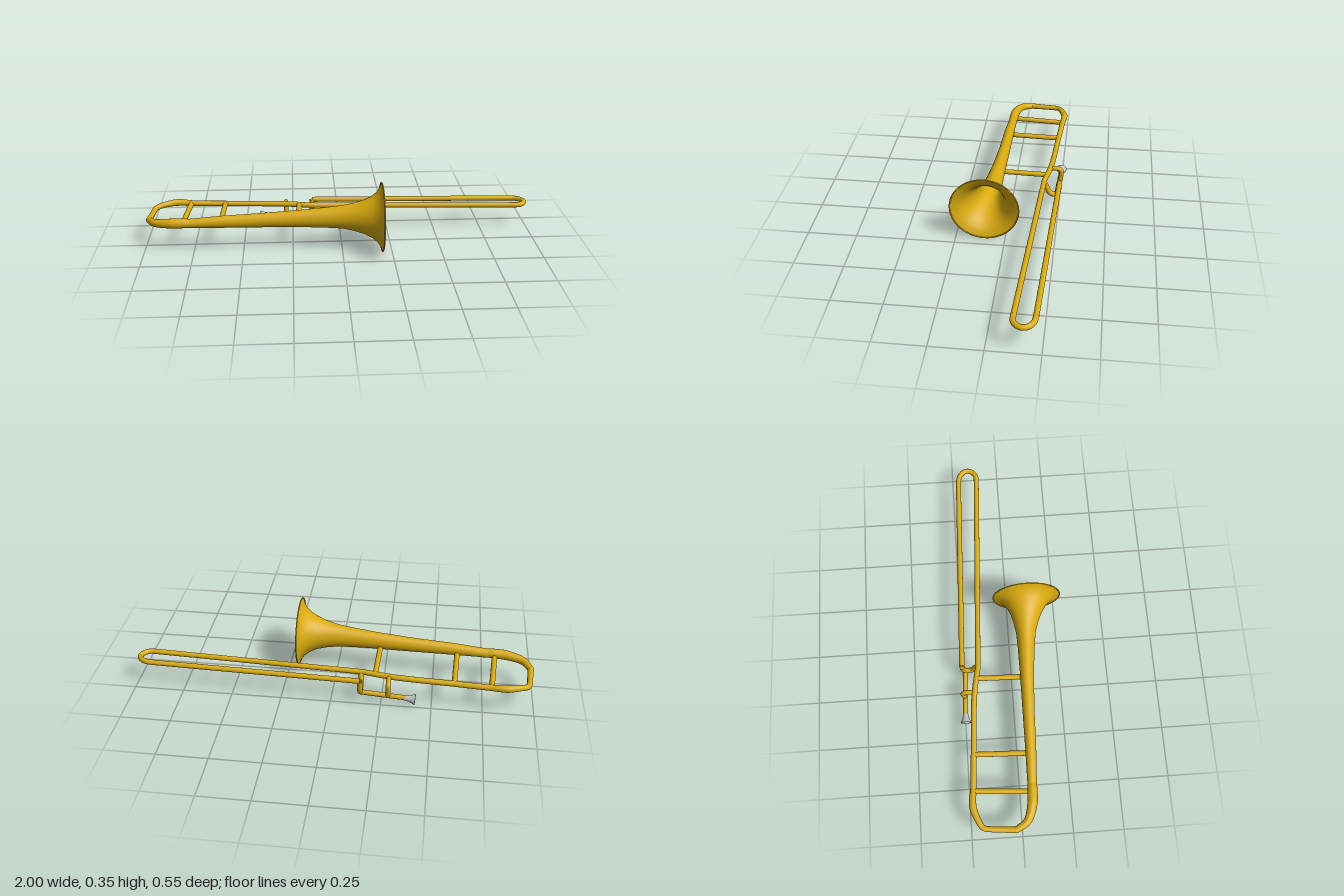
import * as THREE from 'three';

const brass = new THREE.MeshStandardMaterial({ color: 0xd9ab0e, side: THREE.DoubleSide });
brass.name = 'brass';
const silver = new THREE.MeshStandardMaterial({ color: 0xc4c4c4, side: THREE.DoubleSide });
silver.name = 'silver';

const R = 0.0135;
const V = (p) => new THREE.Vector3(p[0], p[1], p[2]);

export function createModel() {
  const model = new THREE.Group();
  model.name = 'trombone';

  const add = (name, geometry, material = brass) => {
    const mesh = new THREE.Mesh(geometry, material);
    mesh.name = name;
    model.add(mesh);
    return mesh;
  };

  // Smooth pipe through points; an optional list of radii swells it along its length
  const pipe = (name, points, radii = [R], segments = points.length * 10) => {
    const curve = new THREE.CatmullRomCurve3(points.map(V), false, 'centripetal');
    const sides = 16;
    const geo = new THREE.TubeGeometry(curve, segments, 1, sides);
    const pos = geo.attributes.position;
    const p = new THREE.Vector3();
    for (let i = 0; i <= segments; i++) {
      const c = curve.getPointAt(i / segments);
      const t = curve.getUtoTmapping(i / segments) * (radii.length - 1);
      const k = Math.min(Math.floor(t), Math.max(radii.length - 2, 0));
      const r = radii.length > 1 ? THREE.MathUtils.lerp(radii[k], radii[k + 1], t - k) : radii[0];
      for (let j = 0; j <= sides; j++) {
        const n = i * (sides + 1) + j;
        p.fromBufferAttribute(pos, n).sub(c).multiplyScalar(r).add(c);
        pos.setXYZ(n, p.x, p.y, p.z);
      }
    }
    geo.computeVertexNormals();
    return add(name, geo);
  };

  // Straight round bar between two points
  const bar = (name, a, b, r = R) => {
    const from = V(a), to = V(b);
    const mesh = add(name, new THREE.CylinderGeometry(r, r, from.distanceTo(to), 16));
    mesh.position.copy(from).lerp(to, 0.5);
    mesh.quaternion.setFromUnitVectors(new THREE.Vector3(0, 1, 0), to.sub(from).normalize());
    return mesh;
  };

  // Bell: upright elliptical rings [x, centreY, centreZ, radiusY, radiusZ]
  const rings = [
    [-0.77, 0.147, 0.06, 0.023, 0.023], [-0.6, 0.155, 0.066, 0.031, 0.027],
    [-0.4, 0.161, 0.07, 0.037, 0.03], [-0.2, 0.169, 0.077, 0.045, 0.036],
    [-0.08, 0.174, 0.083, 0.053, 0.043], [0, 0.177, 0.087, 0.06, 0.05],
    [0.06, 0.178, 0.092, 0.072, 0.064], [0.11, 0.179, 0.097, 0.087, 0.082],
    [0.15, 0.179, 0.1, 0.107, 0.104], [0.175, 0.179, 0.102, 0.128, 0.126],
    [0.19, 0.179, 0.103, 0.15, 0.148], [0.199, 0.179, 0.104, 0.173, 0.171],
  ];
  const around = 64;
  const verts = [], faces = [];
  rings.forEach(([x, cy, cz, ry, rz], i) => {
    for (let j = 0; j < around; j++) {
      const a = (j / around) * Math.PI * 2;
      verts.push(x, cy + Math.cos(a) * ry, cz + Math.sin(a) * rz);
      if (i === 0) continue;
      const k = (j + 1) % around, lo = (i - 1) * around, hi = i * around;
      faces.push(lo + j, hi + k, hi + j, lo + j, lo + k, hi + k);
    }
  });
  const bell = new THREE.BufferGeometry();
  bell.setAttribute('position', new THREE.Float32BufferAttribute(verts, 3));
  // Wound so that the outer wall is the front side
  faces.reverse();
  const probe = [0, 1, 2].map((n) => new THREE.Vector3().fromArray(verts, faces[n] * 3));
  const normal = probe[1].clone().sub(probe[0]).cross(probe[2].clone().sub(probe[0]));
  const last = rings[rings.length - 1];
  if (normal.dot(probe[0].clone().sub(new THREE.Vector3(last[0], last[1], last[2]))) < 0) faces.reverse();
  bell.setIndex(faces);
  bell.computeVertexNormals();
  add('bell', bell);

  // Rolled bell rim
  const rim = add('bellRim', new THREE.TorusGeometry(0.1725, 0.0035, 8, 64));
  rim.rotation.y = Math.PI / 2;
  rim.position.set(0.199, 0.179, 0.104);

  // Tuning bow: swollen bell-side neck, cross bend and rear rail
  pipe('bellNeck',
    [[-0.982, 0.13, -0.03], [-0.945, 0.138, 0.025], [-0.86, 0.146, 0.055], [-0.8, 0.148, 0.059], [-0.755, 0.147, 0.061]],
    [0.016, 0.02, 0.025, 0.025, 0.021]);
  pipe('tuningBow',
    [[-0.982, 0.13, -0.035], [-0.975, 0.131, -0.11], [-0.962, 0.133, -0.19], [-0.93, 0.138, -0.21], [-0.86, 0.142, -0.233], [-0.77, 0.138, -0.226]],
    [0.016, 0.014, 0.014, 0.015, 0.018, 0.015]);
  const elbow = add('bowElbow', new THREE.SphereGeometry(0.0165, 16, 12));
  elbow.position.set(-0.982, 0.13, -0.033);
  pipe('rearRail', [[-0.78, 0.138, -0.227], [-0.6, 0.138, -0.215], [-0.3, 0.138, -0.195], [-0.15, 0.138, -0.168]],
    [0.015, 0.0145, 0.0145, R]);

  // Long hand slide with its rounded end
  bar('innerSlide', [-0.16, 0.138, -0.169], [0.91, 0.138, -0.117]);
  bar('outerSlide', [-0.145, 0.138, -0.25], [0.91, 0.138, -0.215]);
  pipe('slideBow',
    [[0.905, 0.138, -0.215], [0.945, 0.138, -0.209], [0.975, 0.138, -0.187], [0.983, 0.138, -0.16], [0.97, 0.138, -0.133], [0.945, 0.138, -0.118], [0.905, 0.138, -0.117]]);

  // Braces between bell and rear rail
  [[-0.805, 0.055, -0.785, -0.227], [-0.615, 0.06, -0.605, -0.215], [-0.222, 0.07, -0.215, -0.182]]
    .forEach(([x1, z1, x2, z2], i) => bar('bellBrace' + (i + 1), [x1, 0.138, z1], [x2, 0.138, z2]));

  // Lead pipe with its V-shaped connector and grip brace
  bar('leadPipe', [-0.375, 0.055, -0.247], [-0.14, 0.064, -0.235], 0.0125);
  pipe('slideConnector',
    [[-0.146, 0.138, -0.168], [-0.146, 0.11, -0.182], [-0.146, 0.073, -0.2], [-0.146, 0.063, -0.22], [-0.146, 0.072, -0.24], [-0.146, 0.138, -0.25]]);
  pipe('gripBrace',
    [[-0.285, 0.137, -0.193], [-0.285, 0.135, -0.235], [-0.285, 0.124, -0.251], [-0.285, 0.058, -0.246]], [0.012]);

  // Mouthpiece: hollow cup on a tapered shank
  const profile = [[0.012, 0], [0.014, 0.02], [0.019, 0.038], [0.027, 0.055], [0.026, 0.058], [0.021, 0.054], [0.012, 0.036], [0.003, 0.03]];
  const mouthpiece = add('mouthpiece',
    new THREE.LatheGeometry(profile.map(([r, h]) => new THREE.Vector2(r, h)), 24), silver);
  mouthpiece.position.set(-0.362, 0.055, -0.247);
  mouthpiece.rotation.z = Math.PI / 2 + 0.1;

  return model;
}
